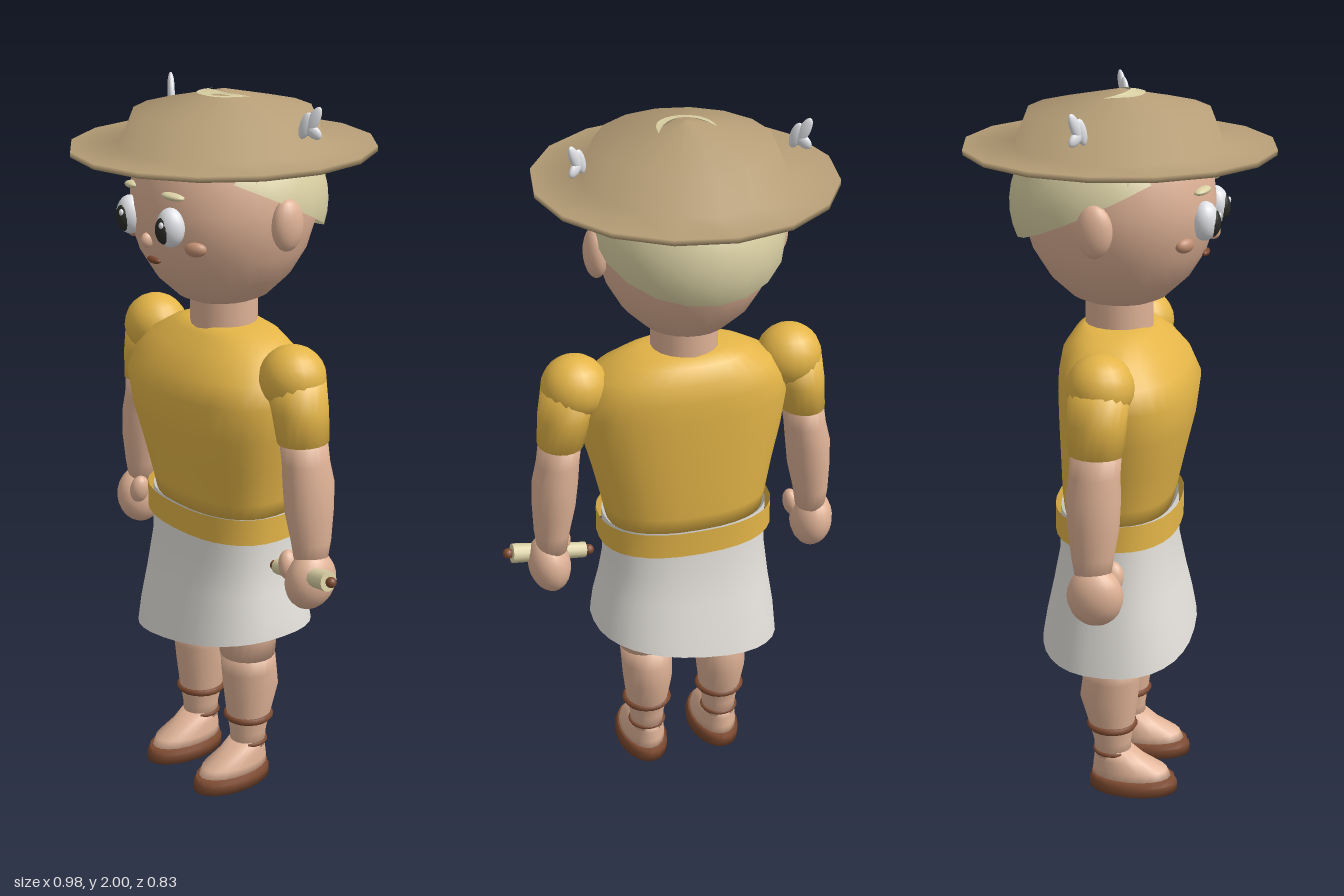
import * as THREE from 'three';

const mat = (name, color, side = THREE.FrontSide) => {
  const m = new THREE.MeshStandardMaterial({ color, side });
  m.name = name;
  return m;
};

// Skin through horizontal rings, each [y, x, halfWidth, zFront, zBack], from bottom to top.
function loft(rings, { n = 20, power = 1, capped = true, hem = null } = {}) {
  const pos = [], idx = [];
  const bend = (v) => Math.sign(v) * Math.pow(Math.abs(v), power);
  rings.forEach(([y, x, w, f, b], r) => {
    for (let i = 0; i < n; i++) {
      const a = (i / n) * Math.PI * 2;
      const px = x + w * bend(Math.sin(a));
      const pz = (f + b) / 2 + ((f - b) / 2) * bend(Math.cos(a));
      pos.push(px, hem ? y + hem(px, r) : y, pz);
    }
  });
  for (let r = 0; r < rings.length - 1; r++) {
    for (let i = 0; i < n; i++) {
      const a = r * n + i, b = r * n + ((i + 1) % n);
      idx.push(a, b, b + n, a, b + n, a + n);
    }
  }
  if (capped) {
    [0, rings.length - 1].forEach((r) => {
      const [y, x, , f, b] = rings[r];
      const c = pos.length / 3;
      pos.push(x, y, (f + b) / 2);
      for (let i = 0; i < n; i++) {
        const p = r * n + i, q = r * n + ((i + 1) % n);
        if (r) idx.push(c, p, q); else idx.push(c, q, p);
      }
    });
  }
  const g = new THREE.BufferGeometry();
  g.setAttribute('position', new THREE.Float32BufferAttribute(pos, 3));
  g.setIndex(idx);
  g.computeVertexNormals();
  return g;
}

const lathe = (pts, n) => new THREE.LatheGeometry(pts.map(([x, y]) => new THREE.Vector2(x, y)), n);

export function createModel() {
  const model = new THREE.Group();
  model.name = 'figure';
  const body = new THREE.Group();
  body.name = 'body';
  body.position.x = -0.036;
  model.add(body);

  const skin = mat('skin', 0xdfb296);
  const cheekTone = mat('cheek', 0xc28f72);
  const yellow = mat('yellow cloth', 0xe4b548, THREE.DoubleSide);
  const white = mat('white cloth', 0xe4e1db, THREE.DoubleSide);
  const felt = mat('felt', 0xb59d76, THREE.DoubleSide);
  const straw = mat('pale straw', 0xdad0a4, THREE.DoubleSide);
  const leather = mat('leather', 0x7d4a30);
  const dark = mat('eye dark', 0x2b2b27);
  const plume = mat('plume white', 0xe3e4e8);

  const add = (name, geo, m, parent = body) => {
    const mesh = new THREE.Mesh(geo, m);
    mesh.name = name;
    parent.add(mesh);
    return mesh;
  };
  const ball = (name, m, p, r, rot = [0, 0, 0], parent = body) => {
    const mesh = add(name, new THREE.SphereGeometry(1, 18, 12), m, parent);
    mesh.position.set(...p);
    mesh.scale.set(...r);
    mesh.rotation.set(...rot);
    return mesh;
  };

  // Head and neck
  const head = add('head', lathe([[0, 1.415], [0.06, 1.422], [0.12, 1.45], [0.175, 1.505], [0.215, 1.575],
    [0.237, 1.65], [0.24, 1.71], [0.232, 1.79], [0.2, 1.87], [0.12, 1.925], [0, 1.94]], 24), skin);
  head.scale.z = 1.08;
  add('neck', new THREE.CylinderGeometry(0.093, 0.093, 0.14, 18), skin).position.y = 1.41;

  // Hair: a tilted half shell over the back of the head
  const cap = new THREE.SphereGeometry(0.28, 20, 10, 0, Math.PI * 2, 0, 1.47);
  cap.rotateX(-0.5).scale(0.92, 0.88, 1);
  add('hair', cap, straw).position.set(0, 1.7, -0.015);

  // Hat with flat brim and shallow peaked crown
  const hat = add('hat', lathe([[0.2, 1.84], [0.4, 1.84], [0.4, 1.855], [0.27, 1.855], [0.235, 1.945], [0, 2]], 16), felt);
  hat.scale.z = 1.043;

  // Crescent lying on the crown
  const moon = new THREE.Shape();
  moon.moveTo(-0.079, -0.03);
  moon.quadraticCurveTo(-0.075, 0.068, 0, 0.068);
  moon.quadraticCurveTo(0.075, 0.068, 0.079, -0.03);
  moon.quadraticCurveTo(0.05, 0.028, 0, 0.029);
  moon.quadraticCurveTo(-0.05, 0.028, -0.079, -0.03);
  const crescent = new THREE.ShapeGeometry(moon, 8);
  const cp = crescent.attributes.position;
  for (let i = 0; i < cp.count; i++) {
    const x = cp.getX(i), z = cp.getY(i);
    cp.setXYZ(i, x, 2.005 - 0.23 * Math.hypot(x, z), z);
  }
  crescent.computeVertexNormals();
  add('crescent', crescent, straw);

  // Face centre
  ball('nose', skin, [0, 1.63, 0.252], [0.015, 0.021, 0.02]);
  ball('mouth', leather, [0, 1.573, 0.232], [0.027, 0.01, 0.012]);

  // Torso, belt and slanted skirt
  add('shirt', loft([[0.85, 0, 0.225, 0.15, -0.145], [0.9, 0, 0.235, 0.16, -0.15], [1.0, 0, 0.257, 0.182, -0.152],
    [1.1, 0, 0.283, 0.205, -0.154], [1.2, 0, 0.3, 0.217, -0.155], [1.26, 0, 0.285, 0.19, -0.153],
    [1.31, 0, 0.245, 0.15, -0.145], [1.35, 0, 0.18, 0.105, -0.118], [1.37, 0, 0.115, 0.08, -0.09]],
  { n: 32, power: 0.85 }), yellow);
  add('belt', loft([[0.79, 0, 0.25, 0.175, -0.17], [0.865, 0, 0.25, 0.175, -0.17]],
    { n: 32, power: 0.85, capped: false }), yellow);
  add('skirt', loft([[0.463, 0, 0.272, 0.217, -0.212], [0.53, 0, 0.265, 0.205, -0.2], [0.62, 0, 0.248, 0.185, -0.18],
    [0.72, 0, 0.234, 0.165, -0.16], [0.86, 0, 0.235, 0.16, -0.155]],
  { n: 32, power: 0.85, capped: false, hem: (x, r) => x * [0.16, 0.12, 0.06, 0, 0][r] }), white);

  for (const s of [-1, 1]) {
    const side = s > 0 ? 'left' : 'right';

    // Face sides
    ball(side + 'Ear', skin, [s * 0.248, 1.677, -0.018], [0.032, 0.07, 0.048]);
    ball(side + 'Eye', plume, [s * 0.091, 1.68, 0.243], [0.04, 0.052, 0.036], [0, s * 0.25, 0]);
    ball(side + 'Pupil', dark, [s * 0.089, 1.676, 0.261], [0.026, 0.038, 0.024], [0, s * 0.2, 0]);
    ball(side + 'EyeGlint', plume, [s * 0.089 + 0.01, 1.692, 0.279], [0.007, 0.009, 0.006]);
    ball(side + 'Brow', straw, [s * 0.091, 1.76, 0.235], [0.035, 0.01, 0.018], [0, s * 0.35, -s * 0.08]);
    ball(side + 'Cheek', cheekTone, [s * 0.138, 1.624, 0.198], [0.03, 0.02, 0.018], [0, s * 0.6, 0]);

    // Hat wing of three feathers
    const wing = new THREE.Group();
    wing.name = side + 'Wing';
    wing.position.set(s * 0.295, 1.945, -0.045);
    wing.rotation.y = s * 0.6;
    body.add(wing);
    [[0.012, 0.008, 0.042, 0.45], [-0.008, -0.004, 0.036, 0.3], [0.012, -0.018, 0.026, -0.9]].forEach(([x, y, h, t]) =>
      ball('feather', plume, [s * x, y, 0], [0.016, h, 0.01], [0, 0, -s * t], wing));

    // Sleeve, arm, hand
    ball(side + 'Shoulder', yellow, [s * 0.308, 1.28, 0.008], [0.092, 0.09, 0.09]);
    add(side + 'Sleeve', loft([[1.115, s * 0.352, 0.064, 0.08, -0.068], [1.2, s * 0.338, 0.074, 0.085, -0.072],
      [1.28, s * 0.315, 0.085, 0.09, -0.076]]), yellow);
    add(side + 'Arm', loft([[0.78, s * 0.387, 0.042, 0.05, -0.045], [0.84, s * 0.386, 0.05, 0.06, -0.055],
      [0.92, s * 0.378, 0.06, 0.073, -0.066], [1.0, s * 0.372, 0.063, 0.076, -0.072],
      [1.06, s * 0.362, 0.059, 0.072, -0.064], [1.13, s * 0.352, 0.059, 0.075, -0.062]]), skin);
    ball(side + 'Hand', skin, [s * 0.395, 0.728, 0.01], [0.06, 0.085, 0.076], [0, 0, -s * 0.12]);
    ball(side + 'Thumb', skin, [s * 0.348, 0.765, 0.048], [0.025, 0.043, 0.03], [0, 0, s * 0.2]);

    // Leg with ankle straps, foot and layered sole
    const x = s * 0.114;
    add(side + 'Thigh', loft([[0.4, x, 0.08, 0.083, -0.075], [0.47, x, 0.083, 0.088, -0.082],
      [0.62, x, 0.088, 0.095, -0.092]]), skin);
    add(side + 'Shin', loft([[0.1, x, 0.047, 0.055, -0.05], [0.15, x, 0.051, 0.055, -0.052],
      [0.21, x, 0.062, 0.065, -0.068], [0.29, x, 0.072, 0.075, -0.092], [0.35, x, 0.075, 0.08, -0.084],
      [0.41, x, 0.079, 0.082, -0.074]]), skin);
    add(side + 'Foot', loft([[0.03, x, 0.064, 0.178, -0.058], [0.065, x, 0.062, 0.16, -0.056],
      [0.095, x, 0.052, 0.1, -0.052], [0.125, x, 0.047, 0.06, -0.05]]), skin);
    [[0.2, 0.063, 0.01], [0.118, 0.05, 0.006]].forEach(([y, r, t]) => {
      const strap = add(side + 'AnkleStrap', new THREE.TorusGeometry(r, t, 6, 20), leather);
      strap.rotation.x = Math.PI / 2;
      strap.position.set(x, y, 0);
    });
    add(side + 'Sole', loft([[0, x, 0.073, 0.19, -0.066], [0.026, x, 0.073, 0.19, -0.066],
      [0.027, x, 0.067, 0.184, -0.061], [0.043, x, 0.067, 0.182, -0.06]]), leather);
  }

  // Scroll through the left hand, with a knob at each end
  const scroll = new THREE.Group();
  scroll.name = 'scroll';
  scroll.position.set(0.39, 0.75, 0.033);
  scroll.rotation.z = 0.14 - Math.PI / 2;
  body.add(scroll);
  add('scrollRoll', new THREE.CylinderGeometry(0.028, 0.022, 0.215, 12), straw, scroll);
  add('scrollRod', new THREE.CylinderGeometry(0.008, 0.008, 0.25, 8), leather, scroll);
  [-1, 1].forEach((s) => ball('scrollKnob', leather, [0, s * 0.118, 0], [0.015, 0.015, 0.015], [0, 0, 0], scroll));

  return model;
}
